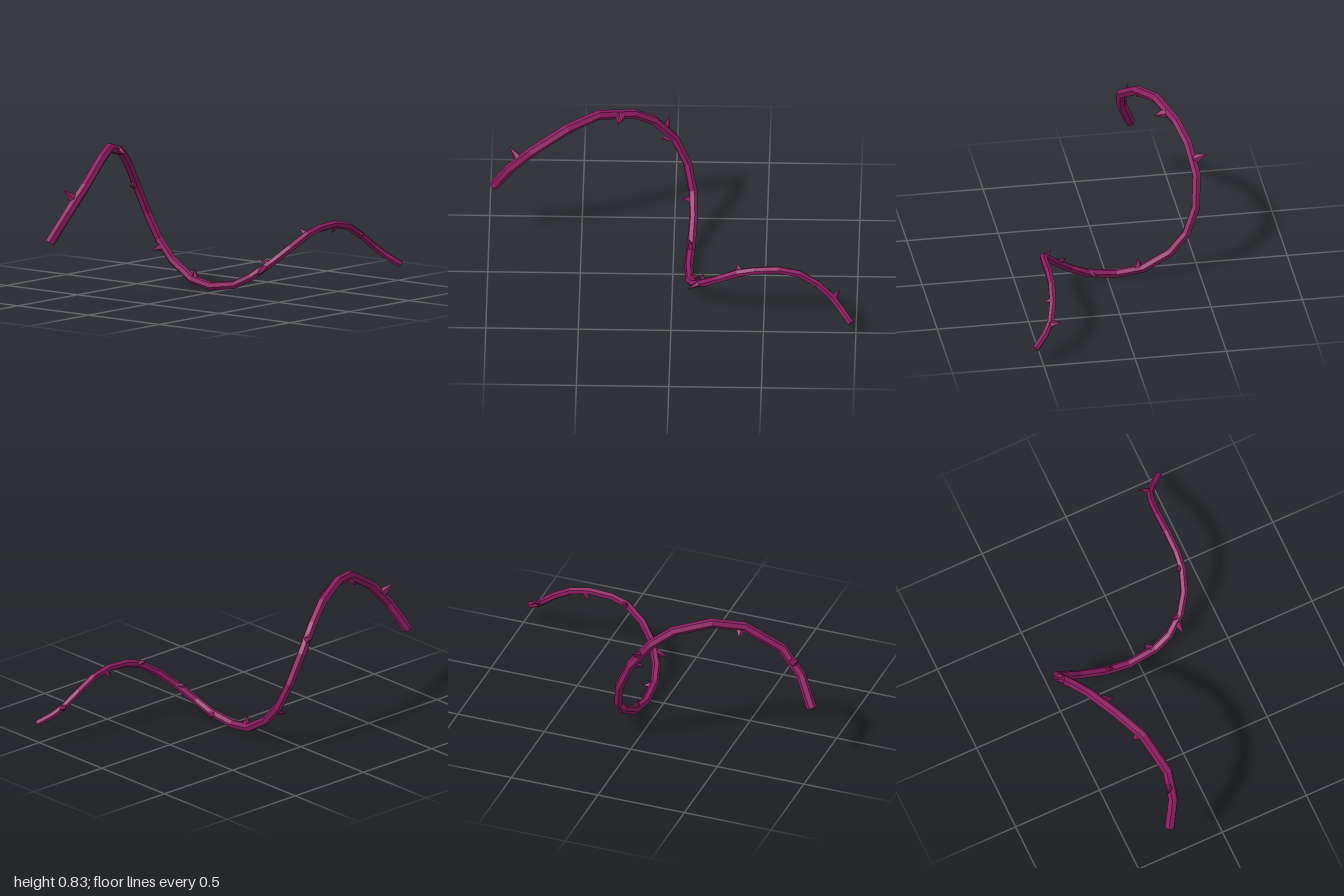
import * as THREE from 'three';

const SIDES = 6;

// Centreline of the vine, from the thick front end to the thin back end
const PATH = [
  [-0.30, 0.37, 0.97], [-0.24, 0.53, 0.885], [-0.22, 0.66, 0.77], [-0.272, 0.785, 0.57],
  [-0.35, 0.818, 0.41], [-0.43, 0.77, 0.22], [-0.475, 0.69, 0.11], [-0.505, 0.55, 0.0],
  [-0.487, 0.39, -0.07], [-0.43, 0.25, -0.10], [-0.34, 0.145, -0.105], [-0.19, 0.055, -0.095],
  [-0.05, 0.032, -0.085], [0.11, 0.055, -0.095], [0.205, 0.105, -0.12], [0.30, 0.185, -0.18],
  [0.36, 0.26, -0.26], [0.395, 0.325, -0.36], [0.405, 0.35, -0.45], [0.405, 0.358, -0.58],
  [0.405, 0.335, -0.69], [0.415, 0.275, -0.79], [0.44, 0.205, -0.87], [0.48, 0.155, -0.92],
  [0.54, 0.105, -0.975],
].map((p) => new THREE.Vector3(...p));

// Thorns: base on the vine, then tip
const THORNS = [
  [[-0.235, 0.59, 0.83], [-0.275, 0.655, 0.89]],
  [[-0.28, 0.775, 0.55], [-0.33, 0.745, 0.56]],
  [[-0.385, 0.79, 0.29], [-0.32, 0.77, 0.305]],
  [[-0.495, 0.62, 0.05], [-0.565, 0.66, 0.03]],
  [[-0.50, 0.56, 0.01], [-0.49, 0.55, 0.075]],
  [[-0.40, 0.215, -0.10], [-0.43, 0.195, -0.04]],
  [[-0.165, 0.055, -0.095], [-0.17, 0.12, -0.085]],
  [[0.09, 0.055, -0.095], [0.07, 0.05, -0.15]],
  [[0.285, 0.172, -0.17], [0.235, 0.2, -0.165]],
  [[0.265, 0.155, -0.15], [0.275, 0.12, -0.085]],
  [[0.39, 0.325, -0.37], [0.35, 0.36, -0.35]],
  [[0.405, 0.355, -0.6], [0.375, 0.305, -0.59]],
  [[0.415, 0.285, -0.775], [0.455, 0.275, -0.77]],
  [[0.445, 0.2, -0.88], [0.385, 0.215, -0.91]],
].map((pair) => pair.map((p) => new THREE.Vector3(...p)));

const tangentAt = (i) =>
  PATH[Math.min(i + 1, PATH.length - 1)].clone().sub(PATH[Math.max(i - 1, 0)]).normalize();

const radiusAt = (i) => THREE.MathUtils.lerp(0.028, 0.019, i / (PATH.length - 1));

// Tapering hexagonal tube with one ring per path point and closed ends
function vineGeometry() {
  const pos = [], idx = [];
  const normal = new THREE.Vector3(1, 0, 0);
  PATH.forEach((p, i) => {
    const t = tangentAt(i);
    normal.addScaledVector(t, -normal.dot(t)).normalize();
    const b = new THREE.Vector3().crossVectors(t, normal);
    for (let j = 0; j < SIDES; j++) {
      const a = (j / SIDES) * Math.PI * 2;
      const v = p.clone()
        .addScaledVector(normal, Math.cos(a) * radiusAt(i))
        .addScaledVector(b, Math.sin(a) * radiusAt(i));
      pos.push(v.x, v.y, v.z);
    }
  });
  const last = PATH.length - 1;
  for (let i = 0; i < last; i++) {
    for (let j = 0; j < SIDES; j++) {
      const a = i * SIDES + j, b = i * SIDES + ((j + 1) % SIDES);
      idx.push(a, b, b + SIDES, a, b + SIDES, a + SIDES);
    }
  }
  // End caps
  for (let j = 1; j < SIDES - 1; j++) {
    const e = last * SIDES;
    idx.push(0, j + 1, j, e, e + j, e + j + 1);
  }
  const g = new THREE.BufferGeometry();
  g.setAttribute('position', new THREE.Float32BufferAttribute(pos, 3));
  g.setIndex(idx);
  const flat = g.toNonIndexed();
  flat.computeVertexNormals();
  return flat;
}

// Pointed cone from base to tip, wider along the vine
function makeThorn(base, tip, material) {
  let near = 0;
  PATH.forEach((p, i) => {
    if (p.distanceTo(base) < PATH[near].distanceTo(base)) near = i;
  });
  const up = tip.clone().sub(base);
  const length = up.length();
  up.normalize();
  const along = tangentAt(near);
  along.addScaledVector(up, -along.dot(up)).normalize();
  const side = new THREE.Vector3().crossVectors(along, up);
  const r = radiusAt(near);
  const geo = new THREE.ConeGeometry(1, length, 5);
  geo.translate(0, length / 2, 0);
  geo.scale(r * 1.25, 1, r * 0.85);
  const mesh = new THREE.Mesh(geo, material);
  mesh.quaternion.setFromRotationMatrix(new THREE.Matrix4().makeBasis(along, up, side));
  mesh.position.copy(base);
  mesh.name = 'thorn';
  return mesh;
}

export function createModel() {
  const group = new THREE.Group();
  group.name = 'thornyVine';
  const material = new THREE.MeshStandardMaterial({ color: 0x8c1c60, flatShading: true });

  const vine = new THREE.Mesh(vineGeometry(), material);
  vine.name = 'vine';
  group.add(vine);

  const thorns = new THREE.Group();
  thorns.name = 'thorns';
  THORNS.forEach(([base, tip]) => thorns.add(makeThorn(base, tip, material)));
  group.add(thorns);
  return group;
}
